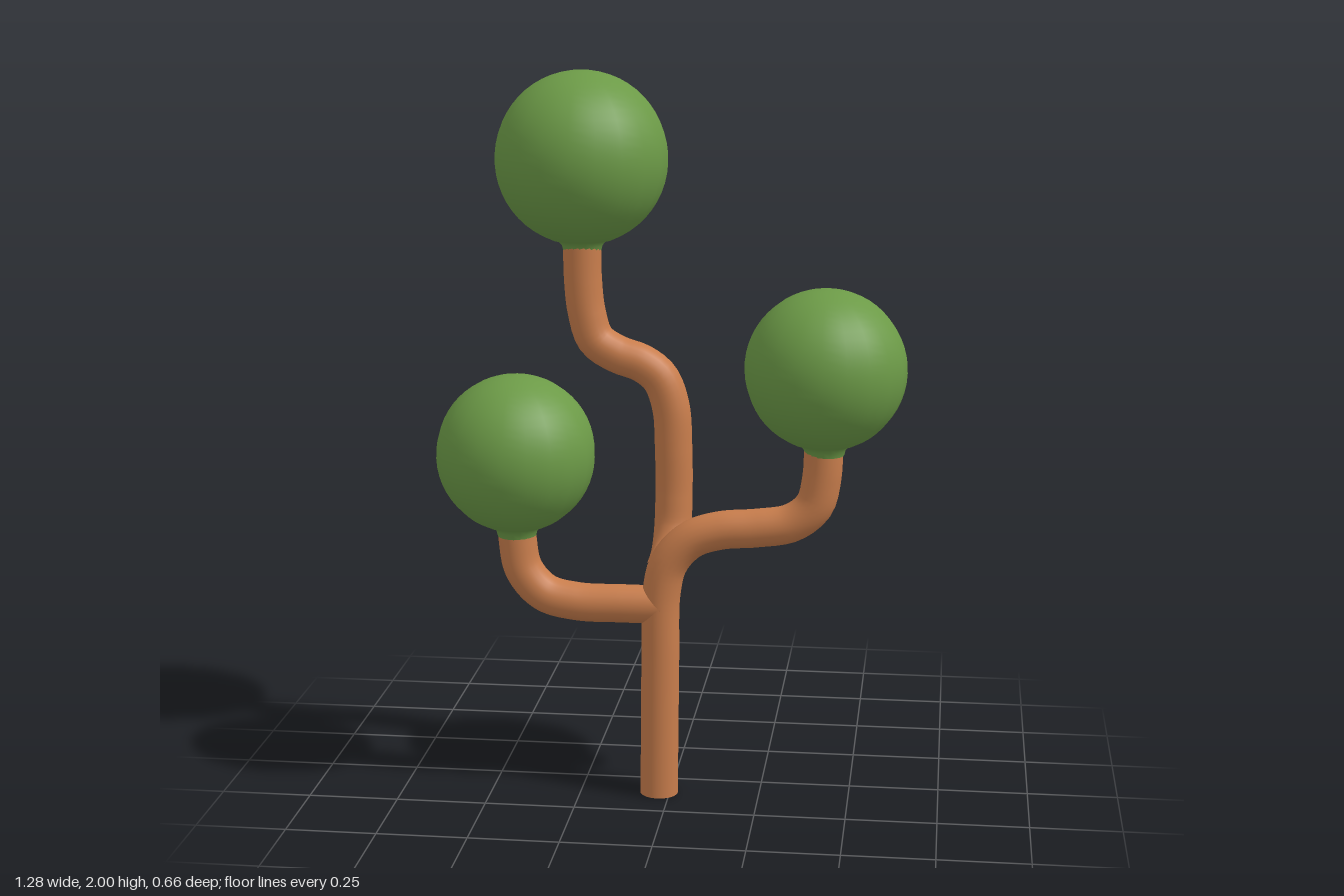
import * as THREE from 'three';

const bark = new THREE.MeshStandardMaterial({ color: 0xc87d4c });
bark.name = 'bark brown';
const leaf = new THREE.MeshStandardMaterial({ color: 0x6c9a47 });
leaf.name = 'leaf green';

const R = 0.053; // branch radius

function add(group, name, geometry, material) {
  const mesh = new THREE.Mesh(geometry, material);
  mesh.name = name;
  group.add(mesh);
  return mesh;
}

// Round branch swept through a few points
function branch(points) {
  const curve = new THREE.CatmullRomCurve3(points.map((p) => new THREE.Vector3(...p)));
  return new THREE.TubeGeometry(curve, 64, R, 20, false);
}

// Ball of leaves whose underside narrows into a short neck around the branch
function crown(r) {
  const profile = [
    new THREE.Vector2(R, -r - 0.015),
    new THREE.Vector2(R + 0.004, -r),
    new THREE.Vector2(R + 0.014, -r + 0.012),
  ];
  const start = Math.asin(0.085 / r);
  for (let i = 0; i <= 24; i++) {
    const a = start + ((Math.PI - start) * i) / 24;
    profile.push(new THREE.Vector2(Math.max(0, r * Math.sin(a)), -r * Math.cos(a)));
  }
  return new THREE.LatheGeometry(profile, 20);
}

export function createModel() {
  const tree = new THREE.Group();
  tree.name = 'tree';
  const z = 0.108;

  // Trunk, bending over into the left branch
  add(tree, 'trunkAndLeftBranch', branch([
    [-0.03, 0, z], [-0.028, 0.2, z], [-0.026, 0.4, z], [-0.022, 0.59, z],
    [0.0, 0.675, z], [0.06, 0.74, z], [0.14, 0.768, z], [0.24, 0.778, z],
    [0.335, 0.796, z], [0.395, 0.845, z], [0.415, 0.92, z], [0.42, 1.05, z],
  ]), bark);
  const base = add(tree, 'trunkBase', new THREE.CircleGeometry(R, 20), bark);
  base.rotation.x = Math.PI / 2;
  base.position.set(-0.03, 0, z);

  add(tree, 'rightBranch', branch([
    [-0.02, 0.55, z], [-0.13, 0.55, z], [-0.26, 0.552, z],
    [-0.35, 0.575, z], [-0.407, 0.64, z], [-0.423, 0.72, z], [-0.425, 0.82, z],
  ]), bark);

  // Branch that leaves the back of the trunk and climbs to the top
  add(tree, 'topBranch', branch([
    [-0.022, 0.635, z], [-0.02, 0.635, 0.04], [-0.016, 0.66, -0.035],
    [-0.013, 0.72, -0.075], [-0.011, 0.81, -0.087], [-0.012, 0.95, -0.087],
    [-0.02, 1.07, -0.087], [-0.05, 1.15, -0.087], [-0.1, 1.19, -0.087],
    [-0.17, 1.215, -0.087], [-0.23, 1.255, -0.087], [-0.255, 1.33, -0.087],
    [-0.265, 1.42, -0.087], [-0.267, 1.57, -0.087],
  ]), bark);

  // Crowns
  [
    ['topCrown', 0.24, -0.267, 1.76, -0.09],
    ['leftCrown', 0.219, 0.422, 1.223, z],
    ['rightCrown', 0.219, -0.425, 0.97, z],
  ].forEach(([name, r, x, y, cz]) => add(tree, name, crown(r), leaf).position.set(x, y, cz));

  return tree;
}
